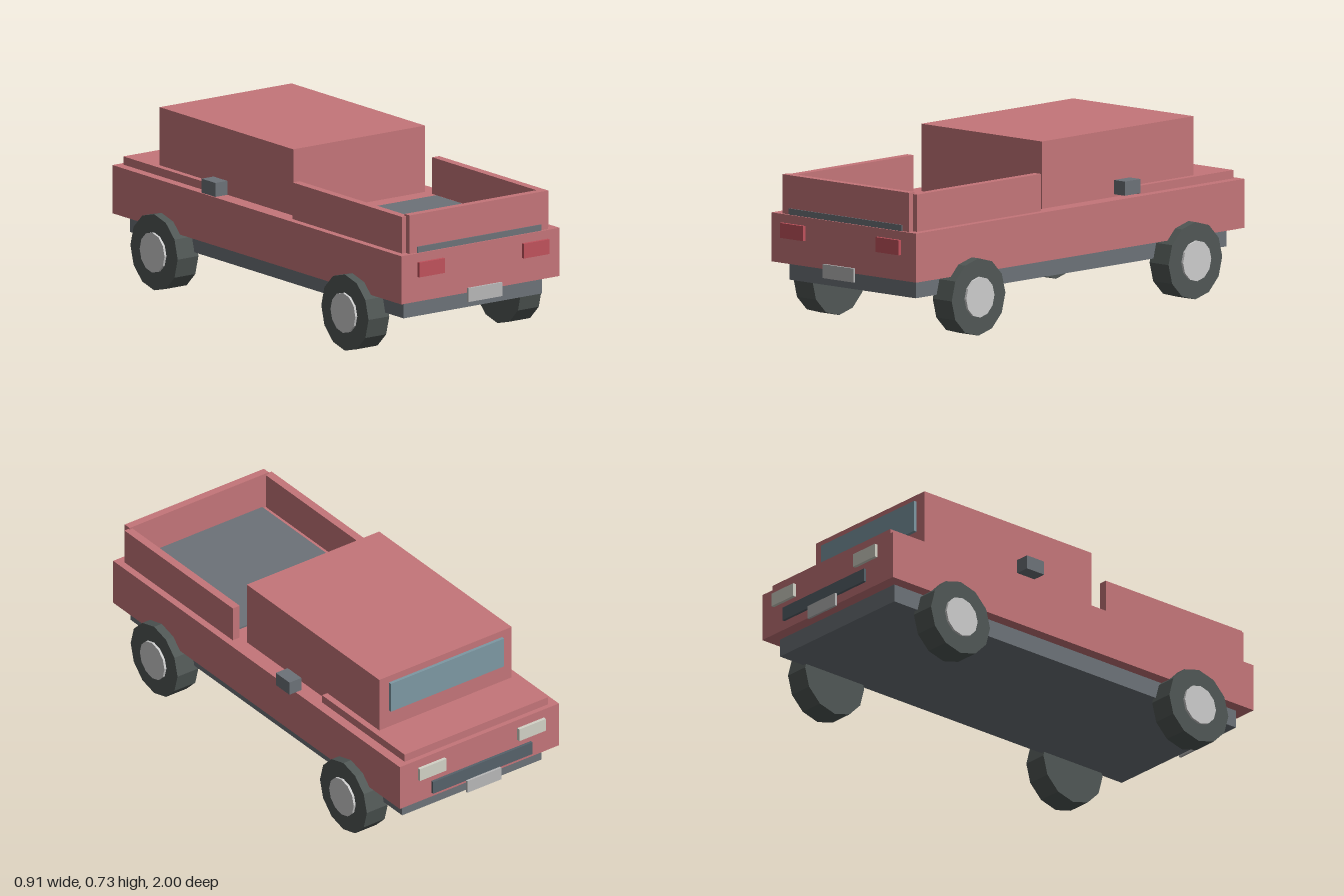
import * as THREE from 'three';

const mat = (color) => new THREE.MeshStandardMaterial({ color, flatShading: true });

export function createModel() {
  const truck = new THREE.Group();
  truck.name = 'pickupTruck';

  const red = mat(0xc47579);
  const darkGrey = mat(0x6c7278);
  const tyreMat = mat(0x505755);
  const hubMat = mat(0xcccccc);
  const glass = mat(0x7d98a3);
  const lampWhite = mat(0xd2d2c6);
  const lampRed = mat(0xc0525c);
  const plateMat = mat(0xb8b8b8);
  const grilleMat = mat(0x56626a);

  // Box given by its extents on each axis
  function box(name, material, [x0, x1], [y0, y1], [z0, z1]) {
    const mesh = new THREE.Mesh(new THREE.BoxGeometry(x1 - x0, y1 - y0, z1 - z0), material);
    mesh.position.set((x0 + x1) / 2, (y0 + y1) / 2, (z0 + z1) / 2);
    mesh.name = name;
    truck.add(mesh);
  }

  // The same box on both sides of the truck
  function pair(name, material, [x0, x1], y, z) {
    box(name + 'Left', material, [x0, x1], y, z);
    box(name + 'Right', material, [-x1, -x0], y, z);
  }

  // Main body, cab and bonnet (the bonnet points to -z)
  box('chassis', darkGrey, [-0.35, 0.35], [0.175, 0.255], [-0.915, 0.915]);
  box('lowerBody', red, [-0.4, 0.4], [0.25, 0.45], [-0.966, 0.966]);
  box('cab', red, [-0.333, 0.333], [0.445, 0.725], [-0.738, 0.155]);
  box('bonnet', red, [-0.36, 0.36], [0.445, 0.484], [-0.945, -0.388]);
  box('windscreen', glass, [-0.285, 0.285], [0.562, 0.695], [-0.752, -0.73]);
  pair('mirror', darkGrey, [0.395, 0.455], [0.475, 0.533], [-0.296, -0.204]);

  // Cargo bed
  box('bedFloor', darkGrey, [-0.317, 0.317], [0.44, 0.457], [0.25, 0.925]);
  pair('bedSide', red, [0.335, 0.37], [0.445, 0.602], [0.2, 0.93]);
  box('tailgate', red, [-0.35, 0.35], [0.445, 0.61], [0.922, 0.955]);
  box('tailgateTrim', darkGrey, [-0.313, 0.313], [0.445, 0.475], [0.945, 0.96]);

  // Lamps, grille and plates
  pair('headlamp', lampWhite, [0.183, 0.317], [0.364, 0.42], [-0.99, -0.976]);
  box('grille', grilleMat, [-0.25, 0.25], [0.278, 0.334], [-0.99, -0.978]);
  box('frontPlate', plateMat, [-0.085, 0.085], [0.225, 0.28], [-1, -0.99]);
  pair('tailLamp', lampRed, [0.2, 0.329], [0.357, 0.418], [0.98, 0.993]);
  box('rearPlate', plateMat, [-0.085, 0.085], [0.22, 0.277], [0.99, 1]);

  // Wheels: low-poly tyre with a proud hubcap on the outer side
  const tyreGeo = new THREE.CylinderGeometry(0.158, 0.158, 0.105, 12).rotateZ(-Math.PI / 2);
  const hubGeo = new THREE.CylinderGeometry(0.083, 0.083, 0.03, 12).rotateZ(-Math.PI / 2);
  for (const side of [1, -1]) {
    for (const [label, z] of [['front', -0.637], ['rear', 0.639]]) {
      const wheel = new THREE.Group();
      wheel.name = label + 'Wheel' + (side > 0 ? 'Left' : 'Right');
      const tyre = new THREE.Mesh(tyreGeo, tyreMat);
      tyre.name = 'tyre';
      const hub = new THREE.Mesh(hubGeo, hubMat);
      hub.name = 'hubcap';
      hub.position.x = side * 0.0475;
      wheel.add(tyre, hub);
      wheel.position.set(side * 0.3855, 0.158, z);
      truck.add(wheel);
    }
  }
  return truck;
}
